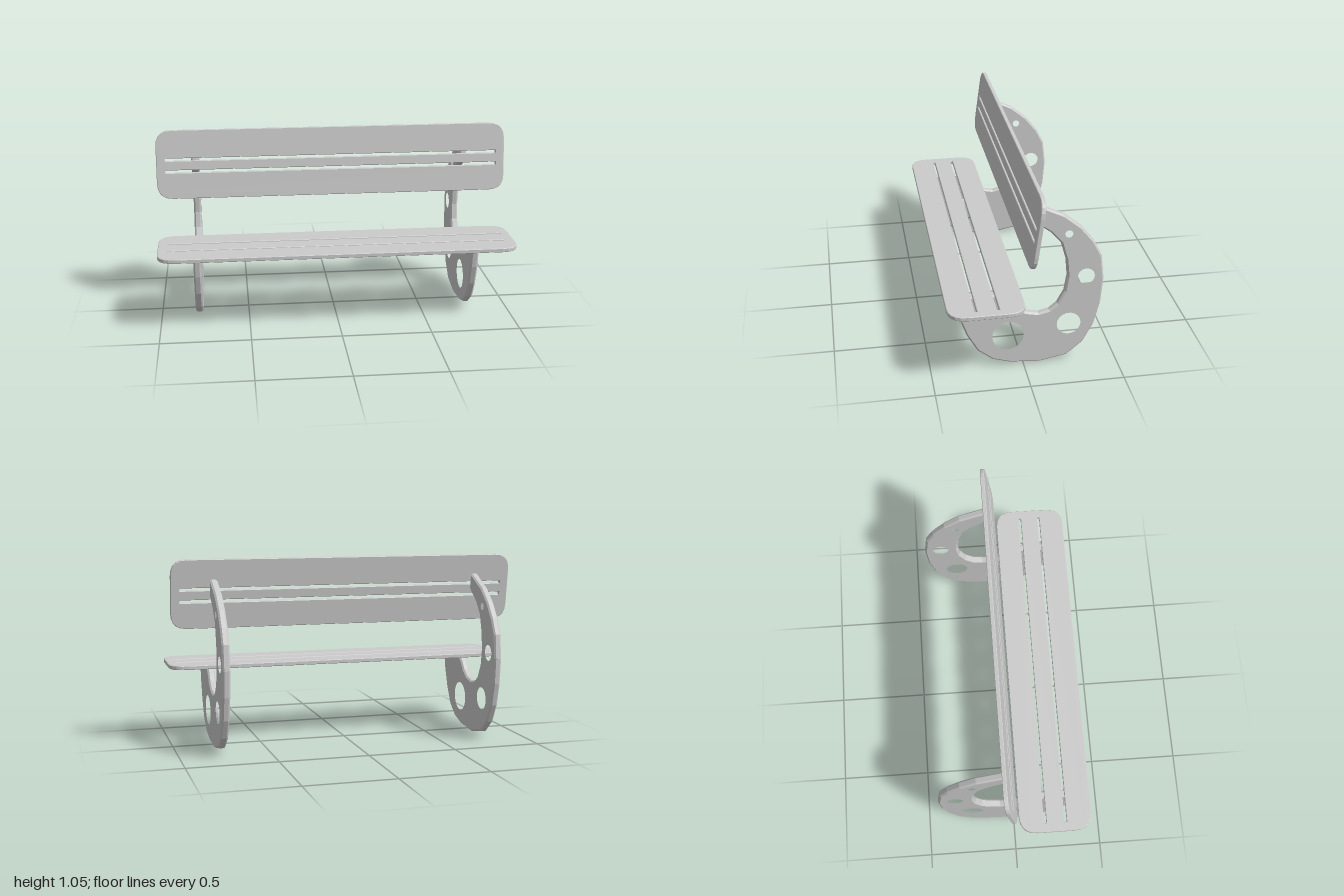
import * as THREE from 'three';

const material = new THREE.MeshStandardMaterial({ color: 0xcccccc, flatShading: true });

// Extrude a shape, centred in depth, with a chamfer cut inwards from its outline
function slab(shape, depth, chamfer) {
  const geometry = new THREE.ExtrudeGeometry(shape, {
    depth: depth - 2 * chamfer, curveSegments: 5, bevelEnabled: true, bevelSegments: 1,
    bevelSize: chamfer, bevelThickness: chamfer, bevelOffset: -chamfer,
  });
  return geometry.translate(0, 0, -depth / 2 + chamfer);
}

// Rounded board with long thin slots
function board(name, height, radius, slots) {
  const w = 1, h = height / 2, r = radius;
  const shape = new THREE.Shape();
  shape.moveTo(-w + r, -h);
  shape.lineTo(w - r, -h);
  shape.quadraticCurveTo(w, -h, w, -h + r);
  shape.lineTo(w, h - r);
  shape.quadraticCurveTo(w, h, w - r, h);
  shape.lineTo(-w + r, h);
  shape.quadraticCurveTo(-w, h, -w, h - r);
  shape.lineTo(-w, -h + r);
  shape.quadraticCurveTo(-w, -h, -w + r, -h);
  for (const [y, t] of slots) {
    shape.holes.push(new THREE.Path([
      [-0.95, y - t / 2], [-0.95, y + t / 2], [0.95, y + t / 2], [0.95, y - t / 2],
    ].map(p => new THREE.Vector2(...p))));
  }
  const mesh = new THREE.Mesh(slab(shape, 0.023, 0.003), material);
  mesh.name = name;
  return mesh;
}

// Hook-shaped side support, drawn as (z, y)
function supportGeometry() {
  const outline = [
    // outer edge from the seat front, under and up to the backrest
    [0.363, 0.435], [0.344, 0.317], [0.304, 0.203], [0.246, 0.102], [0.165, 0.04],
    [0.073, 0.013], [-0.087, 0], [-0.237, 0.03], [-0.324, 0.103], [-0.38, 0.21],
    [-0.413, 0.34], [-0.425, 0.485], [-0.41, 0.624], [-0.366, 0.71], [-0.296, 0.797],
    [-0.207, 0.87], [-0.052, 0.942],
    // inner edge back down to the seat
    [-0.038, 0.848], [-0.137, 0.778], [-0.193, 0.712], [-0.222, 0.61], [-0.231, 0.513],
    [-0.217, 0.423], [-0.18, 0.353], [-0.137, 0.317], [-0.08, 0.303], [-0.011, 0.317],
    [0.04, 0.353], [0.073, 0.395], [0.1, 0.42], [0.126, 0.435],
  ];
  const shape = new THREE.Shape(outline.map(p => new THREE.Vector2(...p)));
  // round cut-outs: z, y, radius
  for (const [z, y, r] of [
    [0.084, 0.183, 0.094], [-0.243, 0.228, 0.074], [-0.33, 0.507, 0.055], [-0.232, 0.763, 0.03],
  ]) {
    const points = [];
    for (let i = 0; i < 18; i++) {
      const a = -i / 18 * Math.PI * 2;
      points.push(new THREE.Vector2(z + r * Math.cos(a), y + r * Math.sin(a)));
    }
    shape.holes.push(new THREE.Path(points));
  }
  return slab(shape, 0.042, 0.009).rotateY(-Math.PI / 2);
}

export function createModel() {
  const bench = new THREE.Group();
  bench.name = 'bench';

  const seat = board('seat', 0.405, 0.1, [[0.058, 0.014], [-0.057, 0.012]]);
  seat.rotation.x = -Math.PI / 2;
  seat.position.set(0, 0.44, 0.221);
  bench.add(seat);

  // Backrest leans slightly backwards
  const backrest = board('backrest', 0.39, 0.09, [[0.028, 0.015], [-0.04, 0.016]]);
  backrest.rotation.x = -0.133;
  backrest.position.set(0, 0.86, -0.033);
  bench.add(backrest);

  const geometry = supportGeometry();
  for (const [name, x] of [['rightSupport', -0.783], ['leftSupport', 0.762]]) {
    const support = new THREE.Mesh(geometry, material);
    support.name = name;
    support.position.x = x;
    bench.add(support);
  }
  return bench;
}
